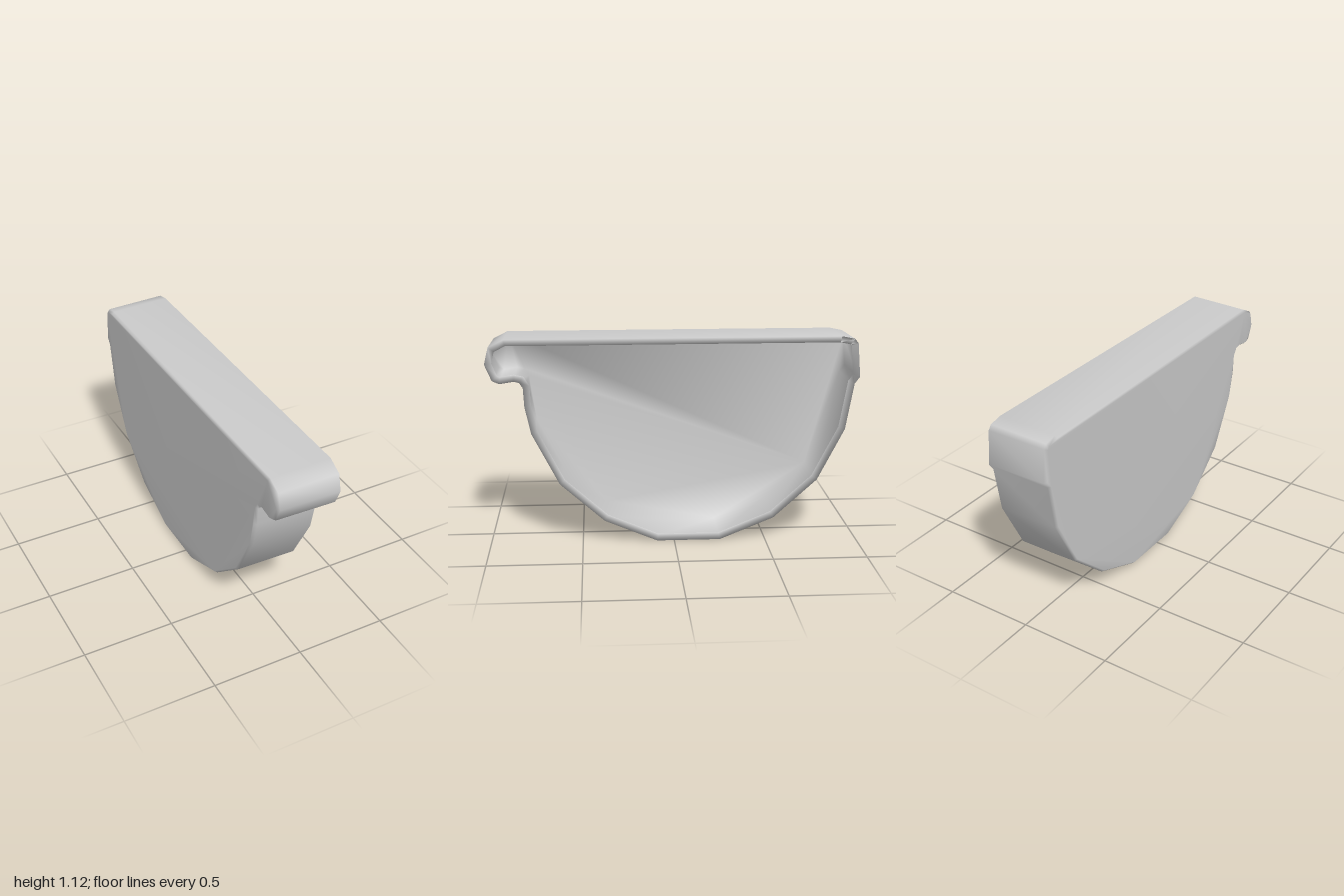
import * as THREE from 'three';

// Outline as [z, y], anticlockwise when looking at the open side (+x)
const outline = [
  [0.897, 1.125], [0.978, 1.085], [1, 0.995], [0.963, 0.907], [0.925, 0.89],
  [0.85, 0.902], [0.82, 0.895], [0.802, 0.866], [0.797, 0.765], [0.765, 0.615],
  [0.62, 0.333], [0.38, 0.12], [0.094, 0], [-0.252, 0], [-0.547, 0.12],
  [-0.783, 0.333], [-0.928, 0.615], [-0.972, 0.866], [-1, 0.904],
  [-0.985, 1.085], [-0.966, 1.11], [-0.895, 1.125],
].map(([z, y]) => new THREE.Vector2(-z, y));

// Moves the outline inwards by a constant distance, with mitred corners
function inset(distance) {
  const n = outline.length;
  const inward = (a, b) => new THREE.Vector2(a.y - b.y, b.x - a.x).normalize();
  return outline.map((p, i) => {
    const n1 = inward(outline[(i + n - 1) % n], p);
    const n2 = inward(p, outline[(i + 1) % n]);
    const miter = n1.clone().add(n2);
    return p.clone().addScaledVector(miter, distance / (1 + n1.dot(n2)));
  });
}

// Section through the sheet as [x, inset]: back, bevel, rim, folded hem, inside, floor
const section = [
  [-0.172, 0.018], [-0.158, 0.006],
  [0.17, 0], [0.157, 0.035], [0.135, 0.014], [-0.15, 0.016],
];

function shellGeometry() {
  const n = outline.length;
  const positions = [];
  const index = [];
  const rings = section.map(([x, d]) => ({ x, points: inset(d) }));
  rings.forEach(({ x, points }) => points.forEach((p) => positions.push(x, p.y, -p.x)));

  // Walls between neighbouring rings
  for (let r = 0; r < rings.length - 1; r++) {
    for (let i = 0; i < n; i++) {
      const j = (i + 1) % n;
      const a = r * n + i, b = r * n + j, c = b + n, d = a + n;
      index.push(a, b, c, a, c, d);
    }
  }

  // Flat back outside, and flat floor inside
  const cap = (ring, facesOpenSide) => {
    const pts = rings[ring].points;
    for (const [a, b, c] of THREE.ShapeUtils.triangulateShape(pts, [])) {
      const area = pts[b].clone().sub(pts[a]).cross(pts[c].clone().sub(pts[a]));
      const tri = (area > 0) === facesOpenSide ? [a, b, c] : [a, c, b];
      index.push(...tri.map((k) => k + ring * n));
    }
  };
  cap(0, false);
  cap(rings.length - 1, true);

  // Shared vertices give soft shading over the bevel, rim and floor edge
  const geometry = new THREE.BufferGeometry();
  geometry.setAttribute('position', new THREE.Float32BufferAttribute(positions, 3));
  geometry.setIndex(index);
  geometry.computeVertexNormals();
  return geometry;
}

export function createModel() {
  const group = new THREE.Group();
  group.name = 'gutterEndCap';
  const shell = new THREE.Mesh(shellGeometry(), new THREE.MeshStandardMaterial({ color: 0xcccccc }));
  shell.name = 'endCapShell';
  group.add(shell);
  return group;
}
